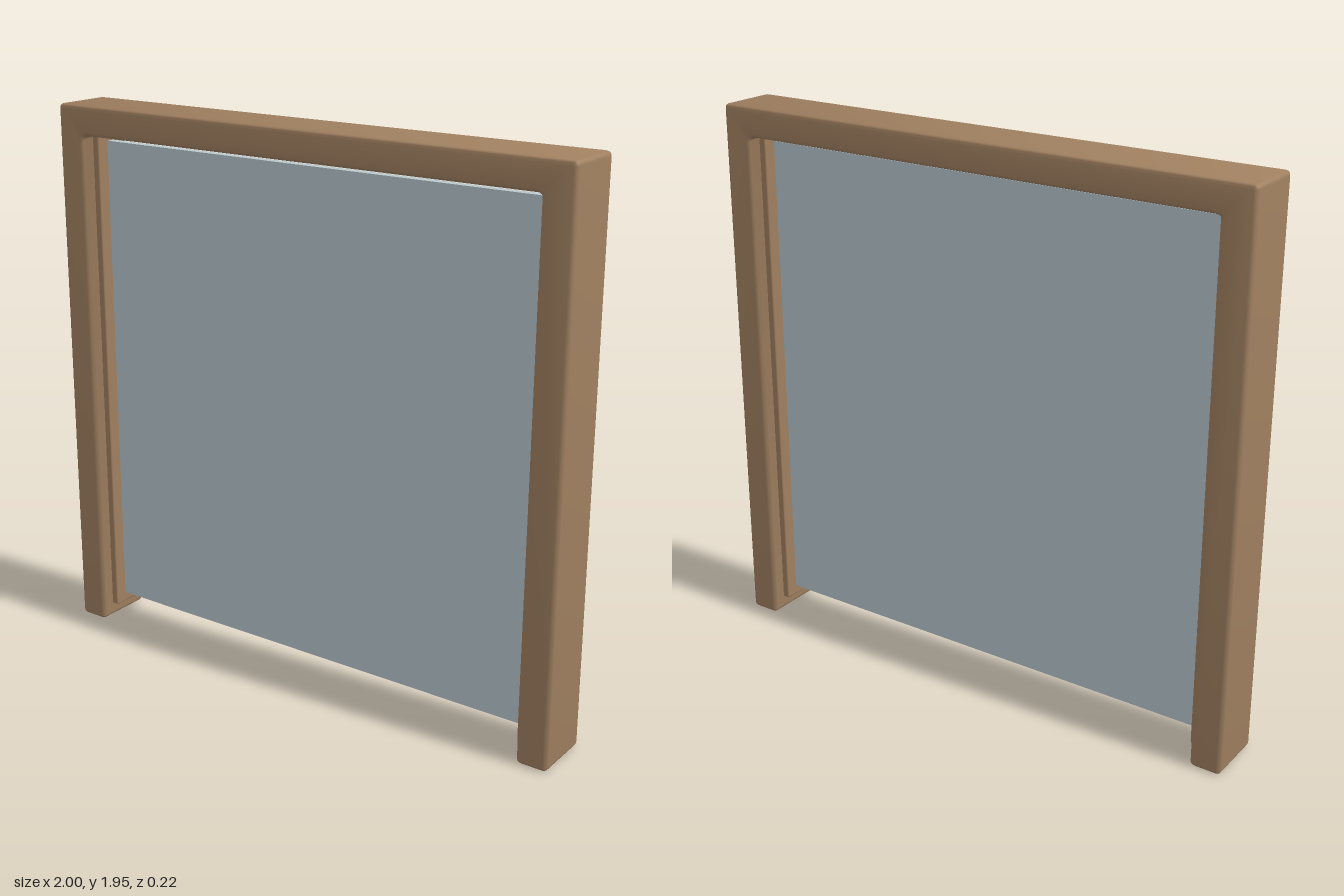
import * as THREE from 'three';
import { toCreasedNormals } from 'three/addons/utils/BufferGeometryUtils.js';
import { RoundedBoxGeometry } from 'three/addons/geometries/RoundedBoxGeometry.js';

const HEIGHT = 1.945, DEPTH = 0.22, INNER_X = 0.89, INNER_Y = 1.84;

// Closed shape whose corners are rounded by r
function roundedShape(points, r) {
  const pts = points.map(([x, y]) => new THREE.Vector2(x, y));
  const shape = new THREE.Shape();
  pts.forEach((p, i) => {
    const prev = pts[(i + pts.length - 1) % pts.length];
    const next = pts[(i + 1) % pts.length];
    const a = p.clone().add(prev.clone().sub(p).setLength(r));
    const b = p.clone().add(next.clone().sub(p).setLength(r));
    if (i === 0) shape.moveTo(a.x, a.y);
    else shape.lineTo(a.x, a.y);
    shape.quadraticCurveTo(p.x, p.y, b.x, b.y);
  });
  shape.closePath();
  return shape;
}

export function createModel() {
  const model = new THREE.Group();
  const wood = new THREE.MeshStandardMaterial({ color: 0xa08060 });
  wood.name = 'wood';
  const glass = new THREE.MeshStandardMaterial({ color: 0xb9c7cd });
  glass.name = 'paleGlass';

  const add = (name, geometry, material, x, y, z) => {
    const mesh = new THREE.Mesh(geometry, material);
    mesh.name = name;
    mesh.position.set(x, y, z);
    model.add(mesh);
  };

  // Two posts and the lintel as one bevelled arch
  const bevel = 0.014;
  const outline = roundedShape([
    [-1, 0], [-INNER_X, 0], [-INNER_X, INNER_Y], [INNER_X, INNER_Y],
    [INNER_X, 0], [1, 0], [1, HEIGHT], [-1, HEIGHT],
  ], 0.018);
  const frame = new THREE.ExtrudeGeometry(outline, {
    depth: DEPTH - 2 * bevel, bevelThickness: bevel, bevelSize: bevel,
    bevelOffset: -bevel, bevelSegments: 3, curveSegments: 4,
  });
  add('doorFrame', toCreasedNormals(frame, 0.7), wood, 0, 0, -DEPTH / 2 + bevel);

  // Guide rails on the inner faces of the posts, sunk slightly into them
  const railBottom = 0.05, railTop = INNER_Y + 0.005;
  for (const side of [-1, 1]) {
    add(side > 0 ? 'leftRail' : 'rightRail',
      new RoundedBoxGeometry(0.04, railTop - railBottom, 0.12, 2, 0.006),
      wood, side * 0.885, (railBottom + railTop) / 2, 0);
  }

  // Glass pane held between the rails
  add('glassPane', new THREE.BoxGeometry(1.75, 1.73, 0.03), glass, 0, 0.95, 0);

  return model;
}
